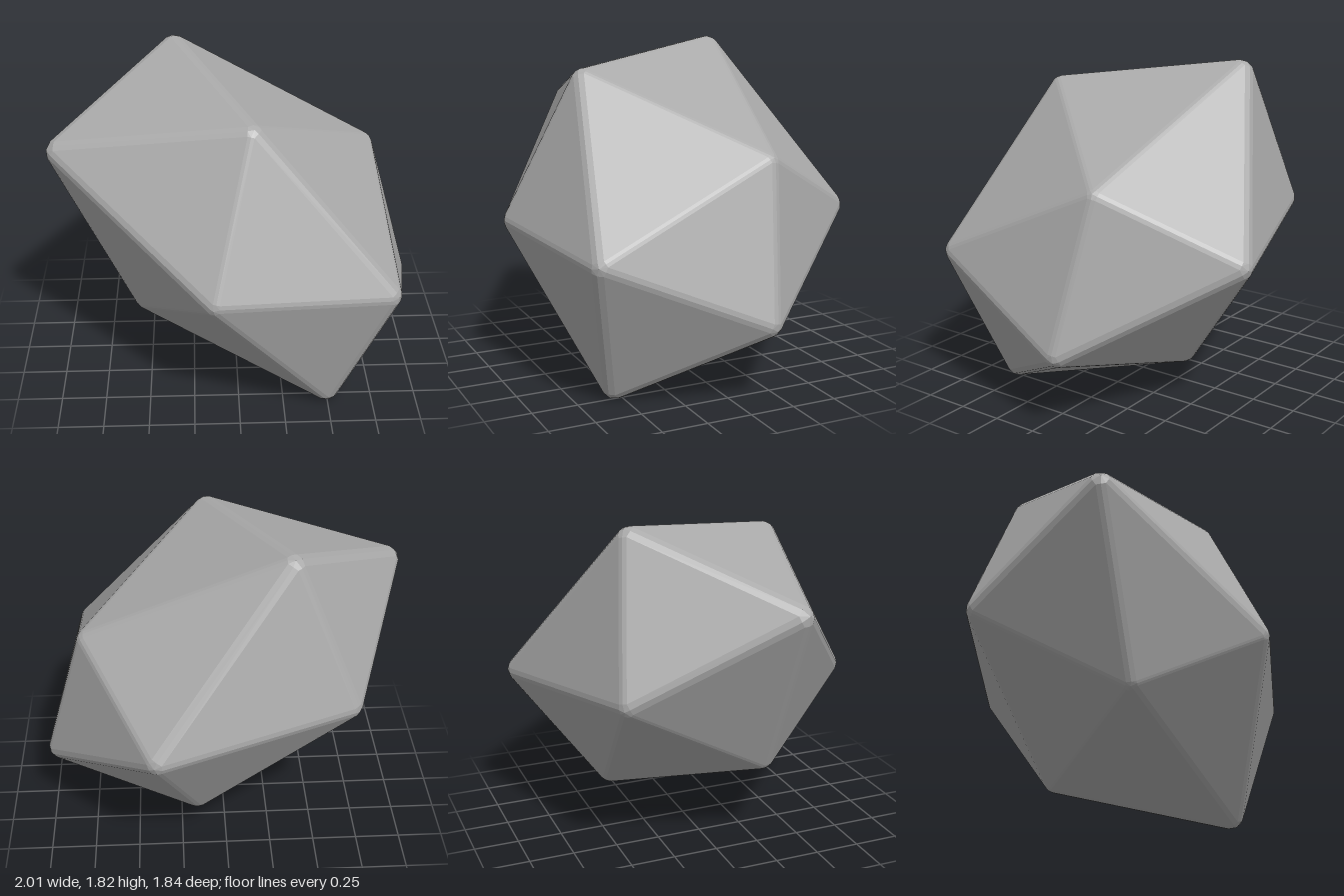
import * as THREE from 'three';
import { ConvexGeometry } from 'three/addons/geometries/ConvexGeometry.js';

const BEVEL = 0.07;

// Corner tips of a squashed, slightly irregular icosahedron
const V = (x, y, z) => new THREE.Vector3(x, y, z);
const topTip = V(-0.36, 1.795, -0.455);
const bottomTip = V(0.52, 0.0, 0.57);
const upperRing = [V(-1, 1.45, 0.25), V(0.06, 1.675, 0.555), V(0.78, 1.245, -0.25), V(0.39, 0.88, -0.92), V(-0.7, 0.98, -0.59)];
const lowerRing = [V(-0.56, 0.47, 0.28), V(-0.14, 0.85, 0.92), V(0.825, 0.78, 0.755), V(1, 0.4, -0.14), V(0.17, 0.2, -0.43)];

function roundedIcosahedron() {
  const corners = [topTip, ...upperRing, ...lowerRing, bottomTip];
  const centre = corners.reduce((sum, c) => sum.add(c), V(0, 0, 0)).divideScalar(12);
  // Pull the corners in so that the rounded tips end at the given points
  const cores = corners.map(c => c.clone().addScaledVector(c.clone().sub(centre).normalize(), -BEVEL));

  // Two caps of five triangles and a zigzag belt of ten
  const faces = [];
  for (let i = 0; i < 5; i++) {
    const j = (i + 1) % 5;
    faces.push([0, 1 + i, 1 + j], [11, 6 + i, 6 + j], [1 + i, 6 + i, 6 + j], [1 + i, 1 + j, 6 + j]);
  }
  const normals = faces.map(([a, b, c]) => {
    const n = cores[b].clone().sub(cores[a]).cross(cores[c].clone().sub(cores[a])).normalize();
    return n.dot(cores[a].clone().sub(centre)) < 0 ? n.negate() : n;
  });

  // Offset each corner along its face, edge and corner normals: a two-step bevel
  const points = [];
  cores.forEach((core, v) => {
    const around = faces.map((f, k) => k).filter(k => faces[k].includes(v));
    const add = n => points.push(core.clone().addScaledVector(n.normalize(), BEVEL));
    const mean = V(0, 0, 0);
    around.forEach((k, i) => {
      mean.add(normals[k]);
      add(normals[k].clone());
      for (const m of around.slice(i + 1)) {
        const shared = faces[k].filter(c => faces[m].includes(c)).length;
        if (shared === 2) add(normals[k].clone().add(normals[m]));
      }
    });
    add(mean);
  });
  return new ConvexGeometry(points);
}

export function createModel() {
  const group = new THREE.Group();
  group.name = 'facetedStone';
  const stoneGrey = new THREE.MeshStandardMaterial({ color: 0xaaaaaa });
  stoneGrey.name = 'stone grey';

  const stone = new THREE.Mesh(roundedIcosahedron(), stoneGrey);
  stone.name = 'stone';
  group.add(stone);
  return group;
}
